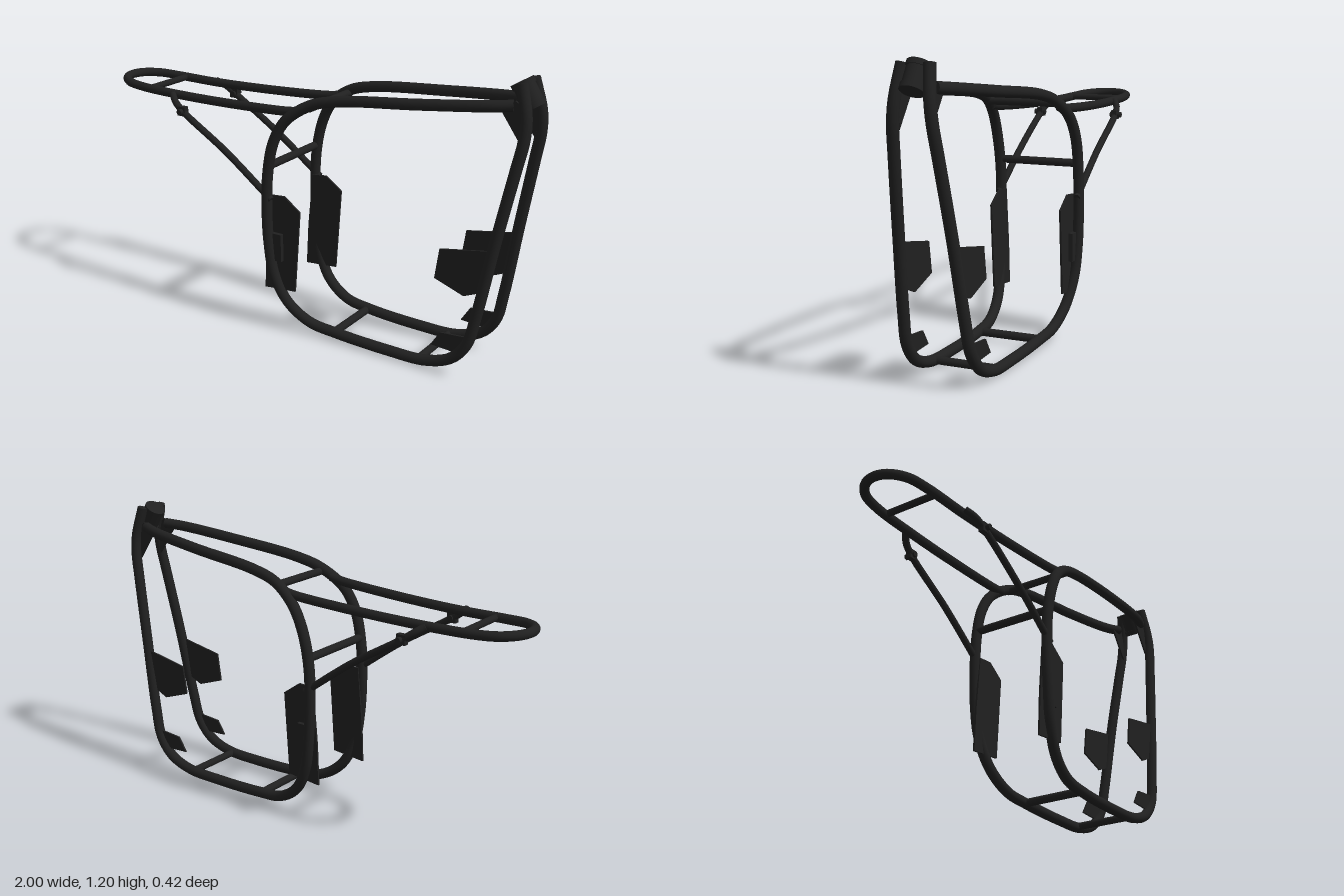
import * as THREE from 'three';
import { mergeGeometries } from 'three/addons/utils/BufferGeometryUtils.js';

const black = new THREE.MeshStandardMaterial({ color: 0x202020 });
black.name = 'satin black';

const V = (p) => new THREE.Vector3(...p);

function add(parent, name, geometry) {
  const mesh = new THREE.Mesh(geometry, black);
  mesh.name = name;
  parent.add(mesh);
  return mesh;
}

// Smooth bent tube through points, with flat end caps
function tube(points, radius, segments = 40, closed = false) {
  const curve = new THREE.CatmullRomCurve3(points.map(V), closed, 'centripetal');
  const parts = [new THREE.TubeGeometry(curve, segments, radius, 14, closed)];
  if (!closed) {
    for (const t of [0, 1]) {
      const out = curve.getTangent(t).multiplyScalar(t ? 1 : -1);
      const cap = new THREE.CircleGeometry(radius, 14);
      cap.applyQuaternion(new THREE.Quaternion().setFromUnitVectors(new THREE.Vector3(0, 0, 1), out));
      const c = curve.getPoint(t);
      parts.push(cap.translate(c.x, c.y, c.z));
    }
  }
  return mergeGeometries(parts);
}

// Straight rod between two points
function rod(a, b, radius, sides = 16) {
  const from = V(a), to = V(b), dir = to.clone().sub(from);
  const g = new THREE.CylinderGeometry(radius, radius, dir.length(), sides);
  g.applyQuaternion(new THREE.Quaternion().setFromUnitVectors(new THREE.Vector3(0, 1, 0), dir.normalize()));
  const mid = from.add(to).multiplyScalar(0.5);
  return g.translate(mid.x, mid.y, mid.z);
}

// Flat plate in the xy plane, centred on z
function plate(outline, z, thickness = 0.008) {
  const shape = new THREE.Shape(outline.map(([x, y]) => new THREE.Vector2(x, y)));
  return new THREE.ExtrudeGeometry(shape, { depth: thickness, bevelEnabled: false })
    .translate(0, 0, z - thickness / 2);
}

export function createModel() {
  const model = new THREE.Group();
  model.name = 'motorcycleFrame';

  // Everything that is doubled left and right
  for (const s of [1, -1]) {
    const side = new THREE.Group();
    side.name = s > 0 ? 'frontSide' : 'backSide';
    model.add(side);
    const m = (pts) => pts.map(([x, y, z]) => [x, y, z * s]);

    // Main cradle: backbone, rear upright, bottom rail, down tube up to the neck
    add(side, 'cradleTube', tube(m([
      [0.9, 1.1, 0.06], [0.82, 1.092, 0.088], [0.55, 1.065, 0.122], [0.2, 1.028, 0.142],
      [0.08, 0.995, 0.152], [-0.02, 0.925, 0.172], [-0.075, 0.83, 0.18], [-0.105, 0.7, 0.18],
      [-0.113, 0.55, 0.18], [-0.105, 0.38, 0.18], [-0.083, 0.24, 0.173], [-0.025, 0.125, 0.158],
      [0.075, 0.055, 0.145], [0.2, 0.036, 0.138], [0.45, 0.026, 0.135], [0.62, 0.032, 0.135],
      [0.73, 0.072, 0.134], [0.795, 0.15, 0.131], [0.825, 0.27, 0.125], [0.88, 0.58, 0.107],
      [0.935, 0.87, 0.086], [0.955, 0.98, 0.077], [0.955, 1.06, 0.069], [0.925, 1.185, 0.054],
    ]), 0.0225, 180));

    // Seat strut with a short mounting peg
    add(side, 'seatStrut', tube(m([
      [-0.625, 0.94, 0.148], [-0.59, 0.915, 0.172], [-0.54, 0.88, 0.181],
      [-0.32, 0.745, 0.181], [-0.09, 0.578, 0.181],
    ]), 0.0145));
    add(side, 'mountPeg', rod([-0.543, 0.885, 0.16 * s], [-0.543, 0.885, 0.21 * s], 0.012));
    add(side, 'pegBracket', new THREE.BoxGeometry(0.04, 0.04, 0.024).translate(-0.545, 0.885, 0.181 * s));

    // Side plates
    add(side, 'rearPlate', plate([
      [-0.11, 0.59], [-0.04, 0.595], [0.037, 0.54], [0.012, 0.183], [-0.14, 0.17], [-0.132, 0.35],
    ], 0.157 * s));
    add(side, 'rearPlatePad', plate([
      [-0.1, 0.31], [-0.045, 0.31], [-0.045, 0.43], [-0.1, 0.43],
    ], 0.171 * s, 0.018));
    add(side, 'engineMountPlate', plate([
      [0.655, 0.51], [0.855, 0.545], [0.835, 0.37], [0.765, 0.34], [0.637, 0.385],
    ], 0.114 * s));
    add(side, 'lowerMountPlate', plate([
      [0.68, 0.17], [0.81, 0.18], [0.775, 0.1], [0.64, 0.108],
    ], 0.131 * s));
    add(side, 'neckGusset', plate([
      [0.845, 1.09], [0.94, 0.955], [0.955, 1.08], [0.91, 1.12],
    ], 0.062 * s));
  }

  // Seat hoop running round the tail
  const hoop = [[0.03, 0.965, 0.152], [-0.02, 0.957, 0.15], [-0.3, 0.942, 0.14], [-0.6, 0.936, 0.13],
    [-0.82, 0.94, 0.122], [-0.91, 0.945, 0.103], [-0.965, 0.949, 0.055]];
  const mirrored = hoop.map(([x, y, z]) => [x, y, -z]).reverse();
  add(model, 'seatHoop', tube([...hoop, [-0.981, 0.95, 0], ...mirrored], 0.019, 120));

  // Cross bars: x, y, half width, radius
  for (const [name, x, y, half, r] of [
    ['seatCrossBar', -0.77, 0.94, 0.125, 0.014],
    ['rearCrossBar', -0.105, 0.72, 0.18, 0.017],
    ['upperCrossBar', 0.08, 0.985, 0.152, 0.016],
    ['bottomRearBar', 0.19, 0.034, 0.138, 0.017],
    ['bottomFrontBar', 0.59, 0.03, 0.135, 0.016],
  ]) add(model, name, rod([x, y, -half], [x, y, half], r));

  // Steering head: raked tube with a collar at each end
  const top = [0.9, 1.18, 0], bottom = [0.957, 1.088, 0];
  const along = (t) => top.map((v, i) => v + (bottom[i] - v) * t);
  add(model, 'steeringHead', rod(top, bottom, 0.042, 28));
  add(model, 'upperCollar', rod(top, along(0.2), 0.046, 28));
  add(model, 'lowerCollar', rod(along(0.8), bottom, 0.046, 28));

  return model;
}
